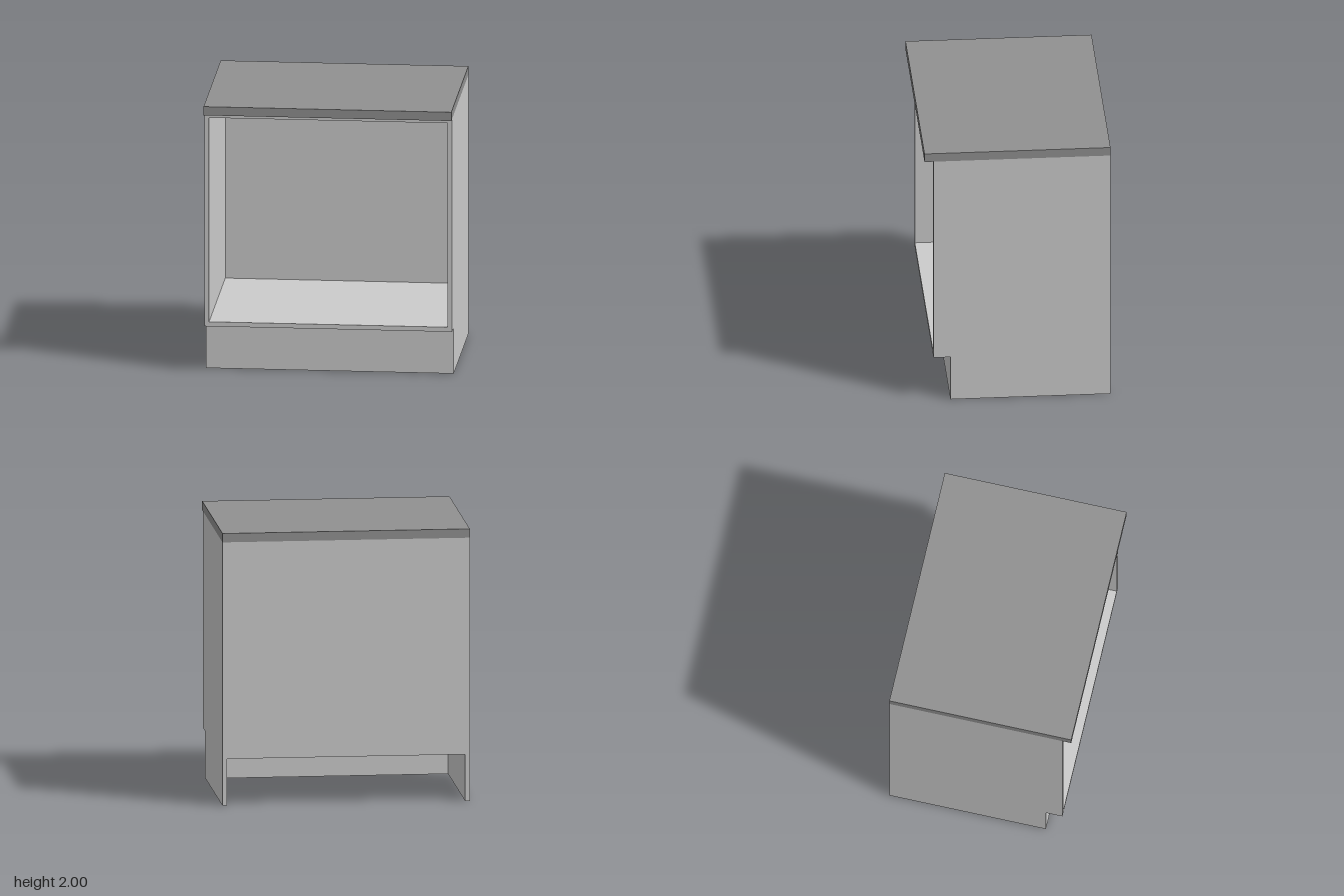
import * as THREE from 'three';

const W = 0.9, T = 0.034;                 // half width, board thickness
const BACK = -0.675, FRONT = 0.61, KICK = 0.487;
const FLOOR = 0.343, TOP = 1.935;         // carcass underside and top

const grey = new THREE.MeshStandardMaterial({ color: 0xcccccc });
const dark = new THREE.MeshStandardMaterial({ color: 0x909090 });

// Box given by its minimum and maximum corners
function board(name, [x0, y0, z0], [x1, y1, z1], material = grey) {
  const mesh = new THREE.Mesh(new THREE.BoxGeometry(x1 - x0, y1 - y0, z1 - z0), material);
  mesh.position.set((x0 + x1) / 2, (y0 + y1) / 2, (z0 + z1) / 2);
  mesh.name = name;
  return mesh;
}

// Side board with a toe-kick notch; profile drawn in (-z, y), extruded along x
function sidePanel(name, x) {
  const profile = new THREE.Shape([
    [BACK, 0], [BACK, TOP], [FRONT, TOP], [FRONT, FLOOR], [KICK, FLOOR], [KICK, 0],
  ].map(([z, y]) => new THREE.Vector2(-z, y)));
  const geometry = new THREE.ExtrudeGeometry(profile, { depth: T, bevelEnabled: false });
  geometry.rotateY(Math.PI / 2);
  const mesh = new THREE.Mesh(geometry, grey);
  mesh.position.x = x;
  mesh.name = name;
  return mesh;
}

export function createModel() {
  const cabinet = new THREE.Group();
  cabinet.name = 'baseCabinet';
  const inner = W - T, backFace = BACK + 0.008;

  cabinet.add(
    sidePanel('leftSide', inner),
    sidePanel('rightSide', -W),
    // Horizontal boards between the sides
    board('bottomPanel', [-inner, FLOOR, backFace], [inner, FLOOR + T, FRONT]),
    board('topPanel', [-inner, TOP - T, backFace], [inner, TOP, FRONT]),
    // Thin back and recessed plinth
    board('backPanel', [-inner, FLOOR, BACK], [inner, TOP, backFace]),
    board('kickBoard', [-inner, 0, KICK - T], [inner, FLOOR, KICK]),
    // Overhanging counter
    board('worktop', [-W, TOP, BACK], [W, 2, 0.675], dark),
  );
  return cabinet;
}
